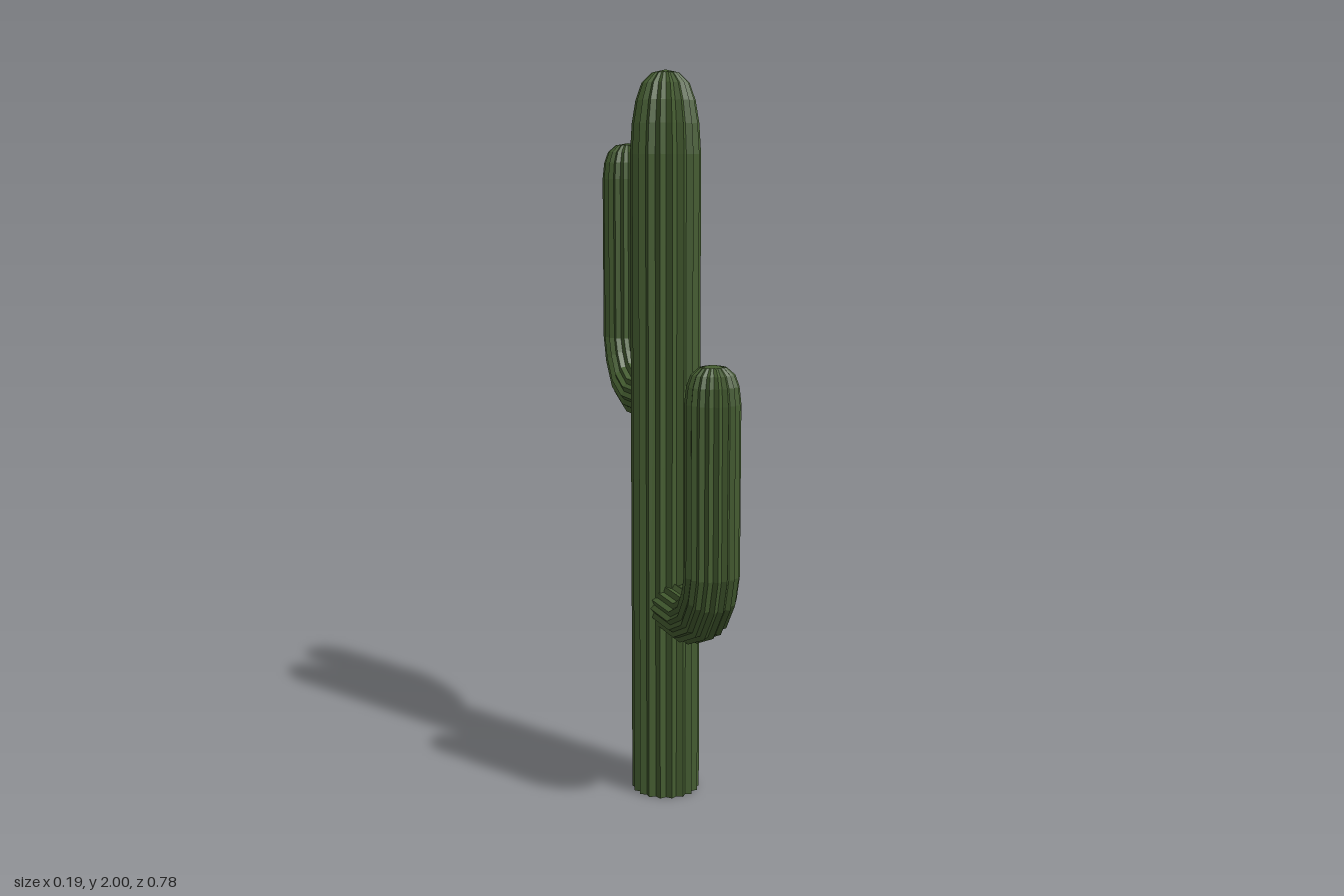
import * as THREE from 'three';

const RIBS = 18;
const VALLEY = 0.88; // valley radius relative to the rib crest

// Ribbed skin over rings [z, y, radius, tilt]; tilt 0 runs along +z, 90 runs straight up.
function ribbedSkin(rings) {
  const n = RIBS * 2, pos = [], idx = [];
  for (const [z, y, r, tilt] of rings) {
    const t = THREE.MathUtils.degToRad(tilt);
    for (let j = 0; j < n; j++) {
      const a = (j / n) * Math.PI * 2;
      const rr = j % 2 ? r * VALLEY : r;
      const s = Math.sin(a) * rr;
      pos.push(Math.cos(a) * rr, y + s * Math.cos(t), z - s * Math.sin(t));
    }
  }
  for (let i = 0; i < rings.length - 1; i++) {
    for (let j = 0; j < n; j++) {
      const a = i * n + j, b = i * n + (j + 1) % n;
      idx.push(a, b, b + n);
      if (rings[i + 1][2] > 0) idx.push(a, b + n, a + n);
    }
  }
  const indexed = new THREE.BufferGeometry();
  indexed.setAttribute('position', new THREE.Float32BufferAttribute(pos, 3));
  indexed.setIndex(idx);
  const geo = indexed.toNonIndexed(); // separate faces give flat shading
  geo.computeVertexNormals();
  return geo;
}

// Rounded tip: rings [height below the top, radius]
const tip = (z, top, profile) => profile.map(([d, r]) => [z, top - d, r, 90]);

export function createModel() {
  const group = new THREE.Group();
  group.name = 'cactus';
  const green = new THREE.MeshStandardMaterial({ color: 0x445c30, side: THREE.DoubleSide, flatShading: true });
  green.name = 'cactusGreen';

  // Trunk, open at the base
  const trunk = new THREE.Mesh(ribbedSkin([
    [0, 0, 0.095, 90],
    ...tip(0, 2, [[0.22, 0.095], [0.14, 0.09], [0.08, 0.08], [0.035, 0.064], [0.008, 0.036], [0, 0]]),
  ]), green);
  trunk.name = 'trunk';
  trunk.position.set(-0.002, 0, -0.005);
  group.add(trunk);

  // Arm: grows out of the trunk, bends upwards and ends in a rounded tip
  const armGeometry = ribbedSkin([
    [0.03, 0.548, 0.073, 0],
    [0.183, 0.548, 0.073, 0],
    [0.258, 0.582, 0.073, 35],
    [0.3, 0.641, 0.073, 65],
    [0.318, 0.7, 0.073, 90],
    ...tip(0.318, 1.252, [[0.1, 0.073], [0.055, 0.068], [0.025, 0.057], [0.006, 0.035], [0, 0]]),
  ]);
  for (const [name, lift, turn] of [['frontArm', 0, 0], ['backArm', 0.562, Math.PI]]) {
    const arm = new THREE.Mesh(armGeometry, green);
    arm.name = name;
    arm.position.set(0.003, lift, 0);
    arm.rotation.y = turn;
    group.add(arm);
  }
  return group;
}
